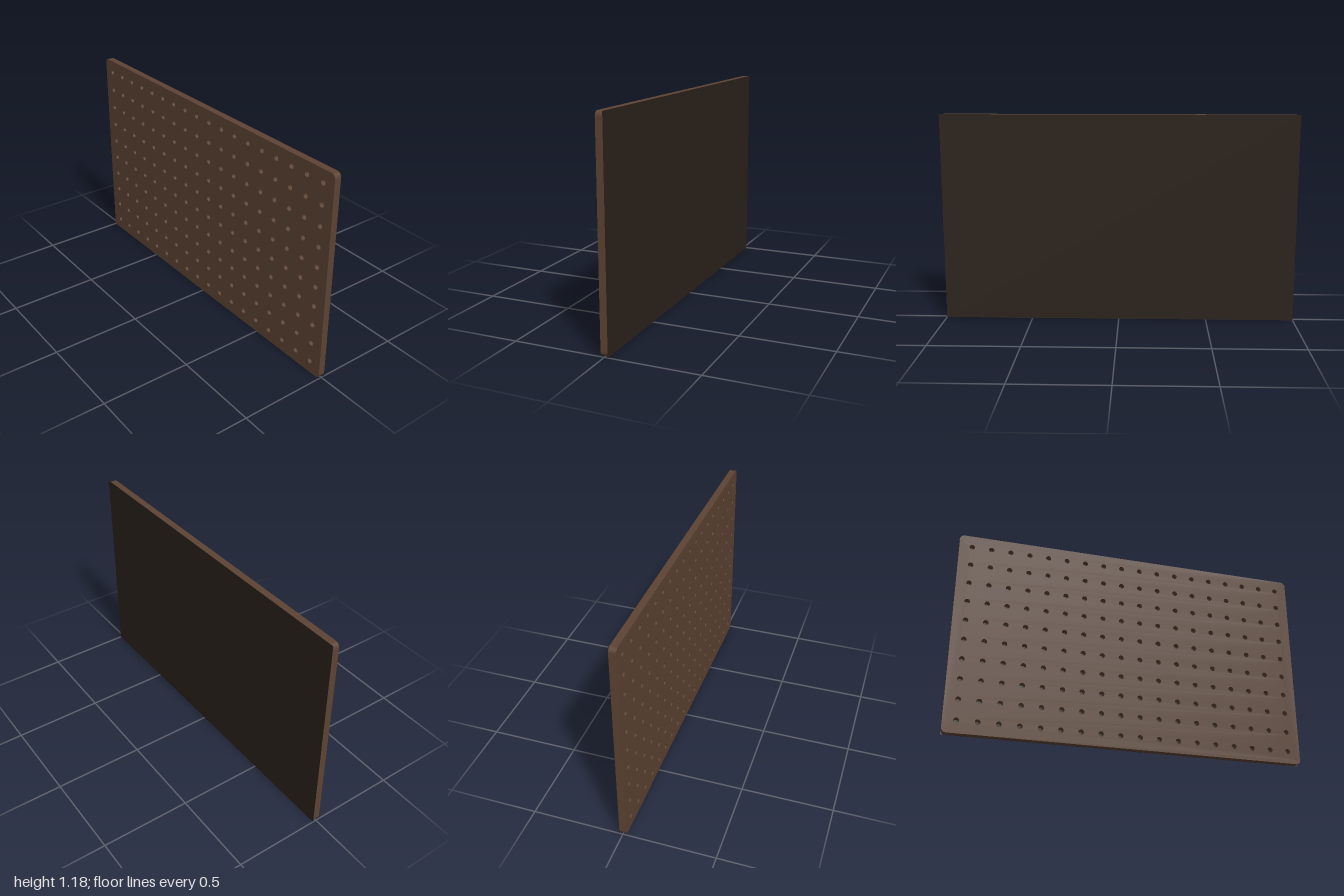
import * as THREE from 'three';

const W = 2, H = 1.176, D = 0.039, BACK = 0.001;
const CORNER = 0.025, HOLE = 0.015;
const COLS = 18, ROWS = 10;

// Rectangle with rounded corners, centred on the origin
function roundedRect(w, h, r) {
  const x = w / 2 - r, y = h / 2 - r;
  const s = new THREE.Shape();
  s.absarc(x, y, r, 0, Math.PI / 2);
  s.absarc(-x, y, r, Math.PI / 2, Math.PI);
  s.absarc(-x, -y, r, Math.PI, Math.PI * 1.5);
  s.absarc(x, -y, r, Math.PI * 1.5, Math.PI * 2);
  s.closePath();
  return s;
}

export function createModel() {
  const group = new THREE.Group();
  group.name = 'pegboard';

  // Front board with a grid of peg holes
  const outline = roundedRect(W, H, CORNER);
  for (let i = 0; i < COLS; i++) {
    for (let j = 0; j < ROWS; j++) {
      const x = THREE.MathUtils.lerp(-0.928, 0.928, i / (COLS - 1));
      const y = THREE.MathUtils.lerp(-0.518, 0.518, j / (ROWS - 1));
      outline.holes.push(new THREE.Path().absarc(x, y, HOLE, 0, Math.PI * 2, true));
    }
  }
  const board = new THREE.Mesh(
    new THREE.ExtrudeGeometry(outline, { depth: D - BACK, bevelEnabled: false, curveSegments: 8 }),
    new THREE.MeshStandardMaterial({ color: 0x5c4333 })
  );
  board.name = 'perforatedBoard';
  board.position.set(0, H / 2, -D / 2 + BACK);
  group.add(board);

  // Thin square-cornered sheet closing the holes from behind
  const backing = new THREE.Mesh(
    new THREE.BoxGeometry(W, H, BACK),
    new THREE.MeshStandardMaterial({ color: 0x2b211b })
  );
  backing.name = 'backingSheet';
  backing.position.set(0, H / 2, -D / 2 + BACK / 2);
  group.add(backing);

  return group;
}
